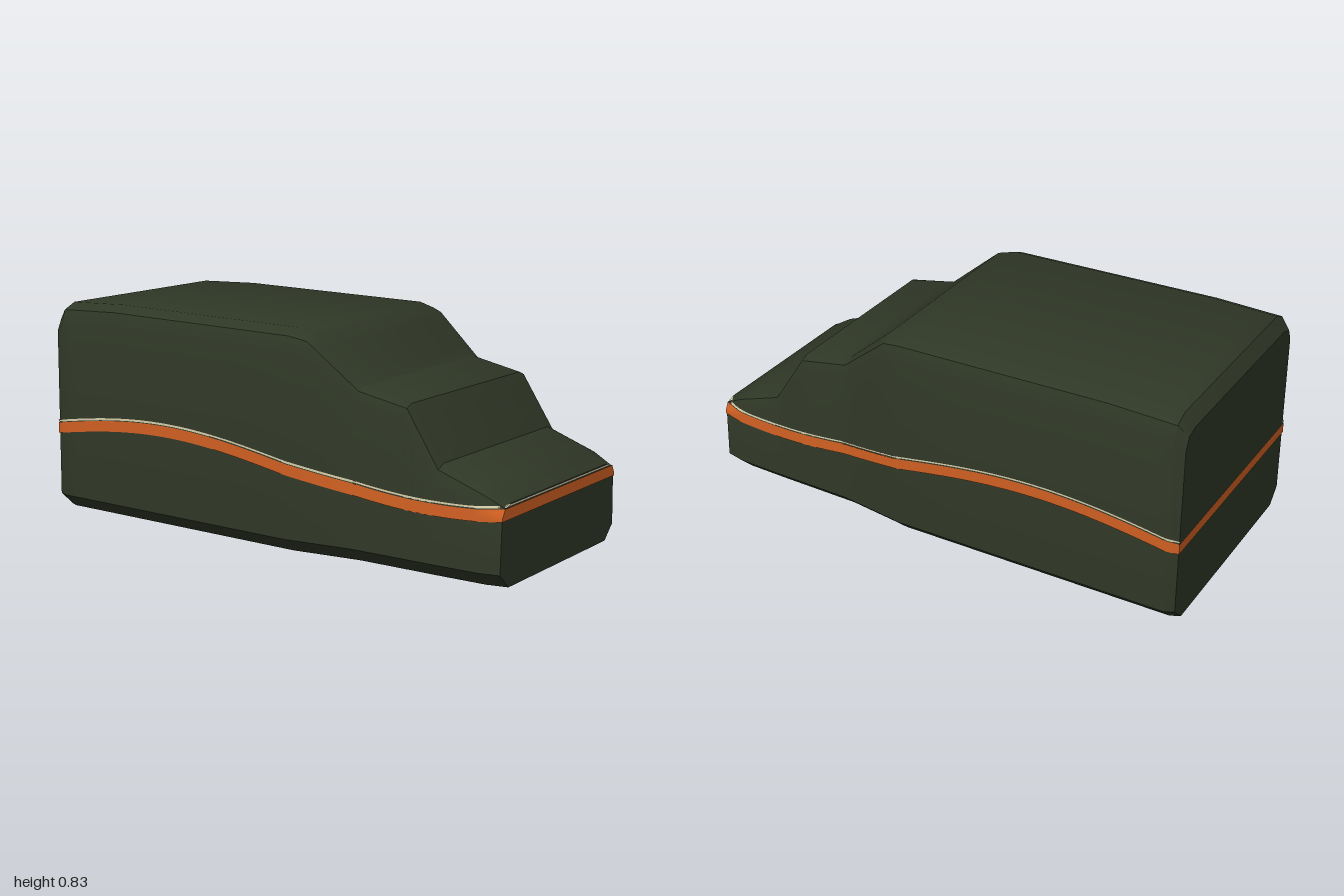
import * as THREE from 'three';
import { toCreasedNormals } from 'three/addons/utils/BufferGeometryUtils.js';

const END = 0.997;

// Stations, front to back: z, lower half width, shoulder half width, height, shoulder drop, roof half width
const STATIONS = [
  [END, 0.412, 0.405, 0.295, 0.045, 0.345],
  [0.92, 0.43, 0.418, 0.34, 0.07, 0.355],
  [0.74, 0.437, 0.42, 0.4, 0.06, 0.365],
  [0.61, 0.44, 0.416, 0.595, 0.05, 0.37],
  [0.41, 0.445, 0.42, 0.635, 0.06, 0.37],
  [0.21, 0.474, 0.464, 0.805, 0.09, 0.385],
  [0.14, 0.485, 0.478, 0.82, 0.09, 0.4],
  [-0.7, 0.485, 0.478, 0.83, 0.09, 0.4],
  [-0.96, 0.485, 0.478, 0.82, 0.09, 0.4],
  [-END, 0.468, 0.46, 0.77, 0.06, 0.39],
];

// Half cross-section at z, from the underside up to the roof
function halfSection(z) {
  const zc = THREE.MathUtils.clamp(z, -END, END);
  let i = 0;
  while (i < STATIONS.length - 2 && STATIONS[i + 1][0] > zc) i++;
  const a = STATIONS[i], b = STATIONS[i + 1];
  const t = (zc - a[0]) / (b[0] - a[0]);
  const [, w, u, h, c, f] = a.map((v, k) => THREE.MathUtils.lerp(v, b[k], t));
  return [[w - 0.058, 0], [w, 0.055], [u, h - c], [u - 0.3 * (u - f), h - 0.27 * c], [f, h]];
}

// Half width of the body at a given z and height
function halfWidth(z, y) {
  const s = halfSection(z);
  for (let i = 0; i < s.length - 1; i++) {
    const [x0, y0] = s[i], [x1, y1] = s[i + 1];
    if (y <= y1) return THREE.MathUtils.lerp(x0, x1, (y - y0) / (y1 - y0));
  }
  return s[s.length - 1][0];
}

function makeGeometry(positions, index) {
  const g = new THREE.BufferGeometry();
  g.setAttribute('position', new THREE.Float32BufferAttribute(positions, 3));
  g.setIndex(index);
  return toCreasedNormals(g, 0.55);
}

// Lofted closed shell with flat end caps
function bodyGeometry() {
  const zs = [];
  const steps = 4;
  for (let i = 0; i < STATIONS.length - 1; i++) {
    for (let k = 0; k < steps; k++) {
      zs.push(THREE.MathUtils.lerp(STATIONS[i][0], STATIONS[i + 1][0], k / steps));
    }
  }
  zs.push(-END);
  const pos = [], idx = [];
  for (const z of zs) {
    const half = halfSection(z);
    for (const [x, y] of half) pos.push(x, y, z);
    for (const [x, y] of [...half].reverse()) pos.push(-x, y, z);
  }
  const n = 10, last = (zs.length - 1) * n;
  for (let i = 0; i < zs.length - 1; i++) {
    for (let j = 0; j < n; j++) {
      const a = i * n + j, b = i * n + ((j + 1) % n);
      idx.push(a, a + n, b, b, a + n, b + n);
    }
  }
  const front = pos.length / 3, back = front + 1;
  pos.push(0, 0.15, END, 0, 0.35, -END);
  for (let j = 0; j < n; j++) {
    const k = (j + 1) % n;
    idx.push(front, j, k, back, last + k, last + j);
  }
  return makeGeometry(pos, idx);
}

// Wavy height of the stripe's lower edge
const waveY = (z) => 0.293 - 0.066 * Math.cos((Math.PI * (0.75 - z)) / 1.2);

// Thin ribbon along the left side, across the nose and back along the right side
function stripeGeometry(low, high, closed) {
  const N = 80, rows = 4;
  const zs = [];
  for (let i = 0; i <= N; i++) zs.push(-1 + (2 * i) / N);
  const columns = [...zs.map((z) => [1, z]), ...[...zs].reverse().map((z) => [-1, z])];
  const pos = [], idx = [];
  for (const [side, z] of columns) {
    for (let r = 0; r <= rows; r++) {
      const y = waveY(z) + THREE.MathUtils.lerp(low, high, r / rows);
      pos.push(side * (halfWidth(z, y) + 0.004), y, z);
    }
  }
  const m = rows + 1, count = columns.length;
  for (let i = 0; i < (closed ? count : count - 1); i++) {
    for (let r = 0; r < rows; r++) {
      const a = i * m + r, b = ((i + 1) % count) * m + r;
      idx.push(a, a + 1, b, b, a + 1, b + 1);
    }
  }
  return makeGeometry(pos, idx);
}

export function createModel() {
  const green = new THREE.MeshStandardMaterial({ color: 0x2f3726 });
  green.name = 'darkGreen';
  const orange = new THREE.MeshStandardMaterial({ color: 0xcf5f22, side: THREE.DoubleSide });
  orange.name = 'orange';
  const cream = new THREE.MeshStandardMaterial({ color: 0xd2cba8, side: THREE.DoubleSide });
  cream.name = 'cream';

  const model = new THREE.Group();
  model.name = 'vanBody';
  const add = (name, geometry, material) => {
    const mesh = new THREE.Mesh(geometry, material);
    mesh.name = name;
    model.add(mesh);
  };
  add('bodyShell', bodyGeometry(), green);
  add('wavyStripe', stripeGeometry(0, 0.042, true), orange);
  // Fine pinstripe just above, open at the tail
  add('pinstripe', stripeGeometry(0.045, 0.053, false), cream);
  return model;
}
